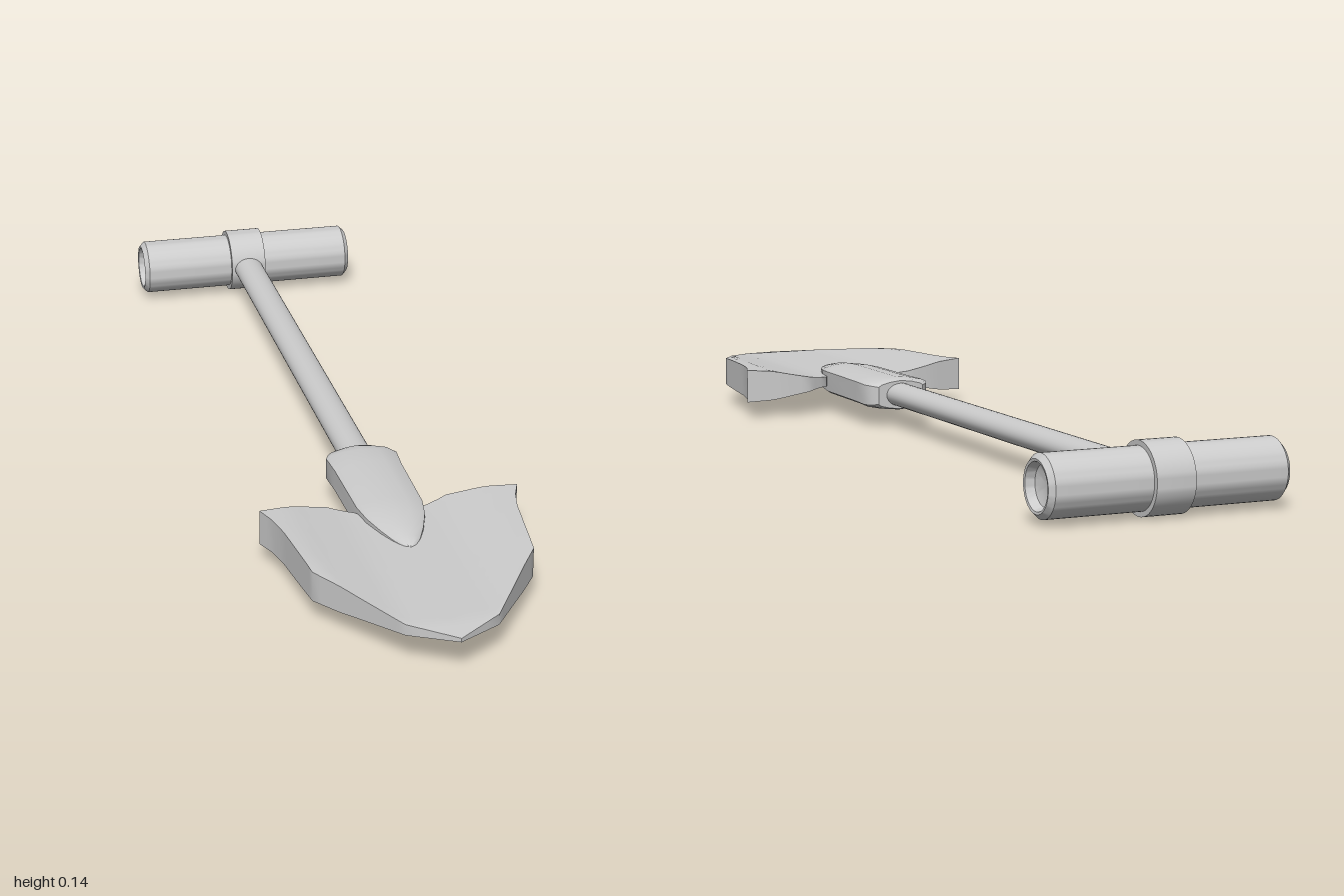
import * as THREE from 'three';
import { toCreasedNormals, mergeVertices } from 'three/addons/utils/BufferGeometryUtils.js';

const MID = 0.071; // height of the spade's middle plane
const material = new THREE.MeshStandardMaterial({ color: 0xcccccc });

// Linear interpolation through [key, value] pairs
function curve(points, k) {
  if (k <= points[0][0]) return points[0][1];
  for (let i = 1; i < points.length; i++) {
    const [a, va] = points[i - 1], [b, vb] = points[i];
    if (k <= b) return va + (vb - va) * (k - a) / (b - a);
  }
  return points[points.length - 1][1];
}

// Solid mirrored about y = 0, from rows of [x, halfHeight, z] running along z
function mirroredSolid(rows) {
  const n = rows[0].length, m = 2 * n, pos = [], idx = [];
  for (const row of rows) {
    for (const [x, h, z] of row) pos.push(x, h, z);
    for (const [x, h, z] of [...row].reverse()) pos.push(x, -h, z);
  }
  for (let i = 0; i < rows.length - 1; i++) {
    for (let j = 0; j < m; j++) {
      const a = i * m + j, b = i * m + (j + 1) % m;
      idx.push(a, a + m, b, b, a + m, b + m);
    }
  }
  const last = (rows.length - 1) * m;
  for (let j = 0; j < n - 1; j++) {
    const a = j, b = j + 1, c = m - 1 - j, d = m - 2 - j;
    idx.push(a, b, c, b, d, c);
    idx.push(last + a, last + c, last + b, last + b, last + c, last + d);
  }
  const g = new THREE.BufferGeometry();
  g.setAttribute('position', new THREE.Float32BufferAttribute(pos, 3));
  g.setIndex(idx);
  return toCreasedNormals(mergeVertices(g, 1e-5), 0.6);
}

// Round part lying along x from a [radius, x] profile
function turnedAlongX(profile) {
  const g = new THREE.LatheGeometry(profile.map(p => new THREE.Vector2(...p)), 48);
  g.rotateZ(-Math.PI / 2);
  return toCreasedNormals(g, 0.5);
}

function bladeGeometry() {
  const width = [[0.48, 0.258], [0.52, 0.243], [0.57, 0.232], [0.74, 0.213], [0.94, 0.088], [1, 0]];
  const backEdge = [[0, 0.07], [0.2, 0.03], [0.27, 0], [0.47, -0.025], [0.7, -0.018], [1, 0]];
  const thickAcross = [[0, 0.010], [0.08, 0.011], [0.1, 0.013], [0.15, 0.022], [0.2, 0.032], [0.26, 0.036]];
  const thickAlong = [[0.5, 0.036], [0.7, 0.032], [0.8, 0.027], [0.9, 0.016], [0.94, 0.011], [1, 0.004]];
  const rows = [];
  for (let i = 0; i <= 26; i++) {
    const z0 = 0.48 + 0.02 * i, t = i / 26, row = [];
    for (let j = -15; j <= 15; j++) {
      const u = j / 15, x = u * curve(width, z0);
      const z = z0 + curve(backEdge, Math.abs(u)) * (1 - t);
      row.push([x, Math.min(curve(thickAcross, Math.abs(x)), curve(thickAlong, z)), z]);
    }
    rows.push(row);
  }
  return mirroredSolid(rows);
}

function socketGeometry() {
  // [z, half width, half height]
  const sections = [
    [0.222, 0.052, 0.031], [0.232, 0.064, 0.034], [0.252, 0.073, 0.036], [0.31, 0.069, 0.036],
    [0.48, 0.066, 0.036], [0.53, 0.058, 0.033], [0.58, 0.042, 0.027], [0.615, 0.027, 0.021],
    [0.638, 0.013, 0.015], [0.648, 0.002, 0.009],
  ];
  const across = [[-1, 0.6], [-0.88, 0.74], [-0.5, 0.9], [0, 1], [0.5, 0.9], [0.88, 0.74], [1, 0.6]];
  return mirroredSolid(sections.map(([z, w, h]) => across.map(([u, k]) => [u * w, k * h, z])));
}

export function createModel() {
  const group = new THREE.Group();
  const add = (name, geometry, z = 0) => {
    const mesh = new THREE.Mesh(geometry, material);
    mesh.name = name;
    mesh.position.set(0, MID, z);
    group.add(mesh);
  };

  add('blade', bladeGeometry());
  add('socket', socketGeometry());

  // Slightly flattened shaft from the grip to inside the socket
  const shaft = new THREE.CylinderGeometry(1, 1, 1.18, 32);
  shaft.rotateX(Math.PI / 2);
  shaft.scale(0.033, 0.025, 1);
  add('shaft', shaft, -0.31);

  // Cross grip with bevelled, dished ends
  const end = [[0, 0.222], [0.025, 0.223], [0.039, 0.228], [0.045, 0.245], [0.05, 0.246], [0.06, 0.236]];
  const grip = [...end.map(([r, x]) => [r, -x]), ...[...end].reverse()];
  add('grip', turnedAlongX(grip), -0.93);

  // Raised band round the middle of the grip
  add('gripCollar', turnedAlongX([[0.055, -0.04], [0.07, -0.04], [0.07, 0.04], [0.055, 0.04]]), -0.93);

  return group;
}
